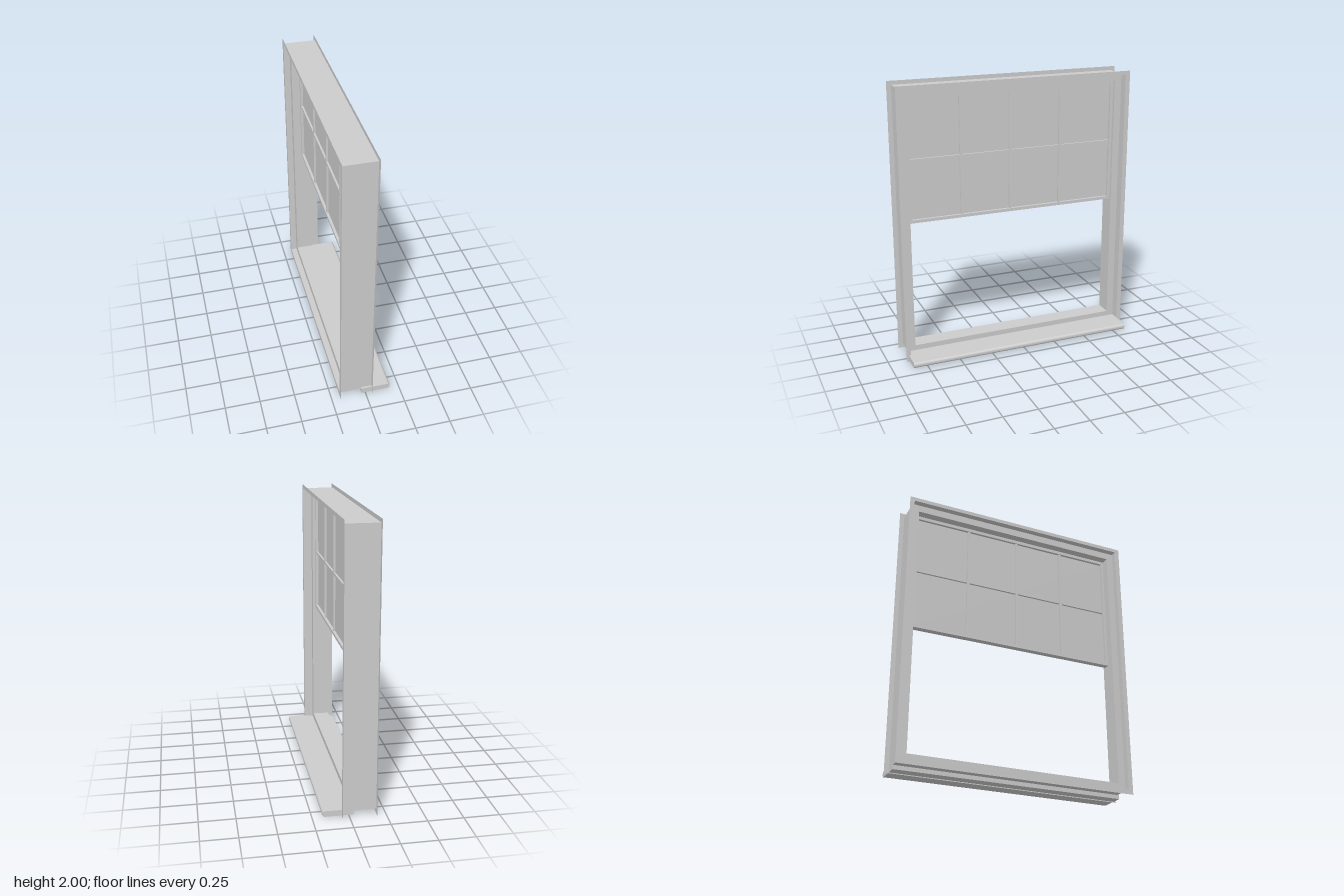
import * as THREE from 'three';

const mat = new THREE.MeshStandardMaterial({ color: 0xcccccc, flatShading: true, side: THREE.DoubleSide });

// Rectangular shape with a rectangular hole; bounds are [halfWidth, bottom, top]
function ringShape(outer, inner) {
  const corners = ([w, b, t]) => [[-w, b], [w, b], [w, t], [-w, t]].map(p => new THREE.Vector2(...p));
  const shape = new THREE.Shape(corners(outer));
  shape.holes.push(new THREE.Path(corners(inner).reverse()));
  return shape;
}

export function createModel() {
  const model = new THREE.Group();
  model.name = 'window';

  const add = (name, geometry, parent = model) => {
    const mesh = new THREE.Mesh(geometry, mat);
    mesh.name = name;
    parent.add(mesh);
    return mesh;
  };
  // Solid frame in the zy plane, running from x0 to x1
  const frame = (name, outer, inner, x0, x1, parent) => add(name,
    new THREE.ExtrudeGeometry(ringShape(outer, inner), { depth: x1 - x0, bevelEnabled: false })
      .rotateY(Math.PI / 2).translate(x0, 0, 0), parent);
  const bar = (name, x0, x1, y0, y1, z0, z1, parent) => add(name,
    new THREE.BoxGeometry(x1 - x0, y1 - y0, z1 - z0)
      .translate((x0 + x1) / 2, (y0 + y1) / 2, (z0 + z1) / 2), parent);

  const wall = [0.838, 0.035, 1.972];
  const opening = [0.786, 0.085, 1.92];
  const back = -0.187, front = 0.048;

  // Thin open sleeve lining the wall opening
  add('jambLining', new THREE.CylinderGeometry(Math.SQRT1_2, Math.SQRT1_2, 1, 4, 1, true)
    .rotateY(Math.PI / 4).rotateZ(Math.PI / 2)
    .scale(front - back, wall[2] - wall[1], 2 * wall[0])
    .translate((front + back) / 2, (wall[1] + wall[2]) / 2, 0));

  // Flat flanges on both faces
  for (const [name, x] of [['backFlange', back], ['frontFlange', front]]) {
    add(name, new THREE.ShapeGeometry(ringShape([0.872, 0, 2], wall))
      .rotateY(Math.PI / 2).translate(x, 0, 0));
  }

  // Inner frame, in two runs that meet behind the sash
  frame('rearStop', wall, opening, -0.143, -0.09);
  frame('frontStop', wall, opening, -0.09, -0.018);

  // Upper sash with glass and glazing bars
  const sash = new THREE.Group();
  sash.name = 'upperSash';
  model.add(sash);
  frame('sashFrame', [0.786, 1.016, 1.92], [0.765, 1.038, 1.896], -0.085, -0.04, sash);
  bar('glass', -0.066, -0.06, 1.03, 1.905, -0.775, 0.775, sash);
  const barZ = [-0.365, 0.025, 0.395];
  const half = 0.009;
  for (const z of barZ) bar('verticalBar', -0.08, -0.046, 1.038, 1.896, z - half, z + half, sash);
  const ends = [-0.765, ...barZ.flatMap(z => [z - half, z + half]), 0.765];
  for (let i = 0; i < ends.length; i += 2) {
    bar('horizontalBar', -0.08, -0.046, 1.459, 1.476, ends[i], ends[i + 1], sash);
  }

  // Sill board with a rounded nose
  const y0 = 0.006, y1 = 0.047, r = 0.018, nose = 0.182;
  const profile = new THREE.Shape();
  profile.moveTo(-0.03, y0);
  profile.lineTo(nose - r, y0);
  profile.absarc(nose - r, y0 + r, r, -Math.PI / 2, 0);
  profile.absarc(nose - r, y1 - r, r, 0, Math.PI / 2);
  profile.lineTo(-0.03, y1);
  add('sill', new THREE.ExtrudeGeometry(profile, { depth: 1.692, bevelEnabled: false, curveSegments: 5 })
    .translate(0, 0, -0.838));

  return model;
}
